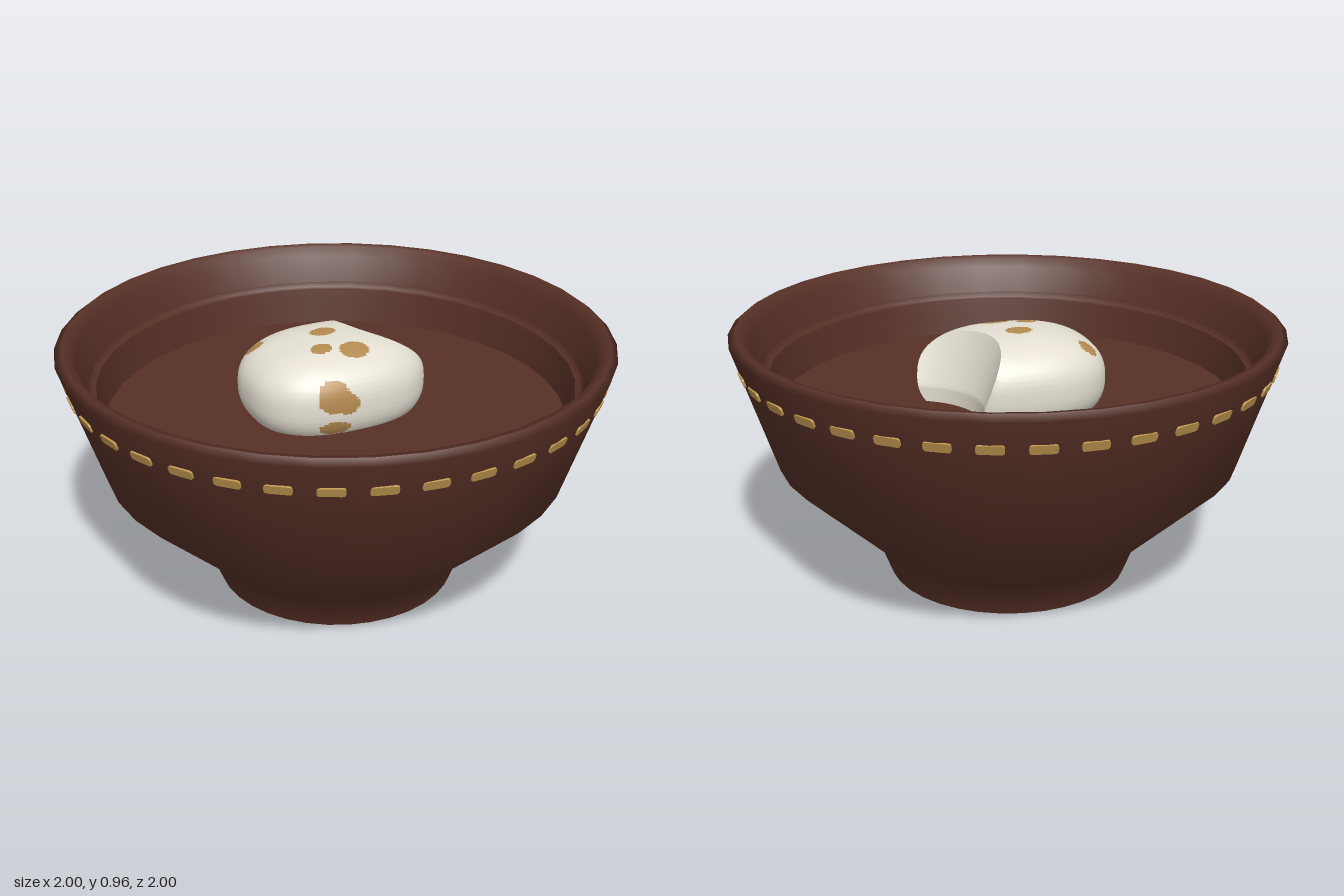
import * as THREE from 'three';
import { mergeVertices, toCreasedNormals } from 'three/addons/utils/BufferGeometryUtils.js';

const SIDES = 36;

function mat(name, color) {
  const m = new THREE.MeshStandardMaterial({ color });
  m.name = name;
  return m;
}

function add(parent, name, geometry, material) {
  const mesh = new THREE.Mesh(geometry, material);
  mesh.name = name;
  parent.add(mesh);
  return mesh;
}

function lathe(points) {
  return new THREE.LatheGeometry(points.map(([r, y]) => new THREE.Vector2(r, y)), SIDES);
}

// Rounded dash, extruded to a thin plate
function stitchGeometry(length, height) {
  const a = length / 2, b = height / 2, r = b * 0.7;
  const s = new THREE.Shape();
  s.moveTo(-a + r, -b);
  s.lineTo(a - r, -b);
  s.quadraticCurveTo(a, -b, a, -b + r);
  s.lineTo(a, b - r);
  s.quadraticCurveTo(a, b, a - r, b);
  s.lineTo(-a + r, b);
  s.quadraticCurveTo(-a, b, -a, b - r);
  s.lineTo(-a, -b + r);
  s.quadraticCurveTo(-a, -b, -a + r, -b);
  return new THREE.ExtrudeGeometry(s, { depth: 0.009, bevelEnabled: false, curveSegments: 4 });
}

// Rounded block with a bite pushed into its side
function dumplingGeometry() {
  let g = new THREE.SphereGeometry(1, 128, 88);
  g.deleteAttribute('uv');
  g.deleteAttribute('normal');
  g = mergeVertices(g, 1e-5);
  const pos = g.attributes.position, v = new THREE.Vector3(), p = 2.5;
  const biteX = 0.42, biteZ = -0.19;
  for (let i = 0; i < pos.count; i++) {
    v.fromBufferAttribute(pos, i);
    const sum = Math.abs(v.x) ** p + Math.abs(v.y) ** p + Math.abs(v.z) ** p;
    v.multiplyScalar(sum ** (-1 / p));
    v.set(v.x * 0.34, 0.76 + v.y * 0.18, -0.04 + v.z * 0.27);
    // bite widens towards the top
    const radius = 0.265 + 0.35 * Math.max(0, v.y - 0.72);
    const dx = v.x - biteX, dz = v.z - biteZ, d = Math.hypot(dx, dz);
    if (d < radius) {
      v.x = biteX + dx / d * radius;
      v.z = Math.max(biteZ + dz / d * radius, -0.31);
    }
    pos.setXYZ(i, v.x, v.y, v.z);
  }
  return toCreasedNormals(g, 0.7);
}

// Spots as [x, y, z, radiusX, radiusY, radiusZ]
const SPOTS = [
  [-0.245, 0.87, -0.165, 0.036, 0.06, 0.036],
  [-0.02, 0.93, -0.07, 0.05, 0.08, 0.037],
  [-0.085, 0.93, 0.055, 0.04, 0.08, 0.031],
  [0.025, 0.92, 0.095, 0.055, 0.09, 0.045],
  [-0.11, 0.81, 0.205, 0.06, 0.06, 0.06],
  [-0.06, 0.78, 0.21, 0.045, 0.04, 0.05],
  [-0.11, 0.69, 0.22, 0.06, 0.03, 0.05],
];

// Sort triangles into plain and spotted groups
function paintSpots(g) {
  const pos = g.attributes.position, lists = [[], []];
  for (let i = 0; i < pos.count; i += 3) {
    const c = [0, 0, 0];
    for (let k = 0; k < 3; k++) {
      c[0] += pos.getX(i + k) / 3;
      c[1] += pos.getY(i + k) / 3;
      c[2] += pos.getZ(i + k) / 3;
    }
    const spotted = SPOTS.some((s) =>
      ((c[0] - s[0]) / s[3]) ** 2 + ((c[1] - s[1]) / s[4]) ** 2 + ((c[2] - s[2]) / s[5]) ** 2 < 1);
    lists[spotted ? 1 : 0].push(i, i + 1, i + 2);
  }
  g.setIndex(lists[0].concat(lists[1]));
  g.addGroup(0, lists[0].length, 0);
  g.addGroup(lists[0].length, lists[1].length, 1);
  return g;
}

export function createModel() {
  const model = new THREE.Group();
  model.name = 'bowlWithDumpling';
  const brown = mat('darkBrown', 0x573026);
  const gold = mat('gold', 0xbf964f);
  const tan = mat('tan', 0xb48a50);
  const ivory = mat('ivory', 0xe4dfd2);
  const grey = mat('paleGrey', 0xd8d5d2);

  // Bowl shell
  const bowl = new THREE.Group();
  bowl.name = 'bowl';
  model.add(bowl);
  add(bowl, 'outerWall', lathe([[0.45, 0.002], [0.5, 0.135], [0.85, 0.47], [1, 0.94], [0.975, 0.96]]), brown);
  add(bowl, 'rim', lathe([[0.975, 0.96], [0.95, 0.955], [0.925, 0.92], [0.89, 0.82]]), brown);
  add(bowl, 'innerLedge', lathe([[0.89, 0.82], [0.885, 0.8], [0.865, 0.795]]), brown);
  add(bowl, 'innerWall', lathe([[0.865, 0.795], [0.86, 0.77], [0.84, 0.66]]), brown);
  add(bowl, 'base', lathe([[0, 0.004], [0.45, 0.002]]), brown);

  // Soup filling
  const soup = add(model, 'soup', new THREE.CircleGeometry(0.845, SIDES), brown);
  soup.rotation.x = -Math.PI / 2;
  soup.position.y = 0.662;

  // Pale disc under the foot
  const disc = add(model, 'baseDisc', new THREE.CircleGeometry(0.25, 48), grey);
  disc.rotation.x = Math.PI / 2;

  // Dashes around the bowl, one wider gap at the side
  const stitches = new THREE.Group();
  stitches.name = 'stitches';
  model.add(stitches);
  const dash = stitchGeometry(0.09, 0.034);
  for (let i = 0; i < 37; i++) {
    const a = THREE.MathUtils.degToRad(11.5 + 9.6 * i);
    const s = add(stitches, 'stitch', dash, gold);
    s.position.set(Math.cos(a) * 0.963, 0.843, Math.sin(a) * 0.963);
    s.rotation.set(0.309, Math.PI / 2 - a, 0, 'YXZ');
  }

  // Bitten dumpling resting in the soup
  add(model, 'dumpling', paintSpots(dumplingGeometry()), [ivory, tan]);

  return model;
}
